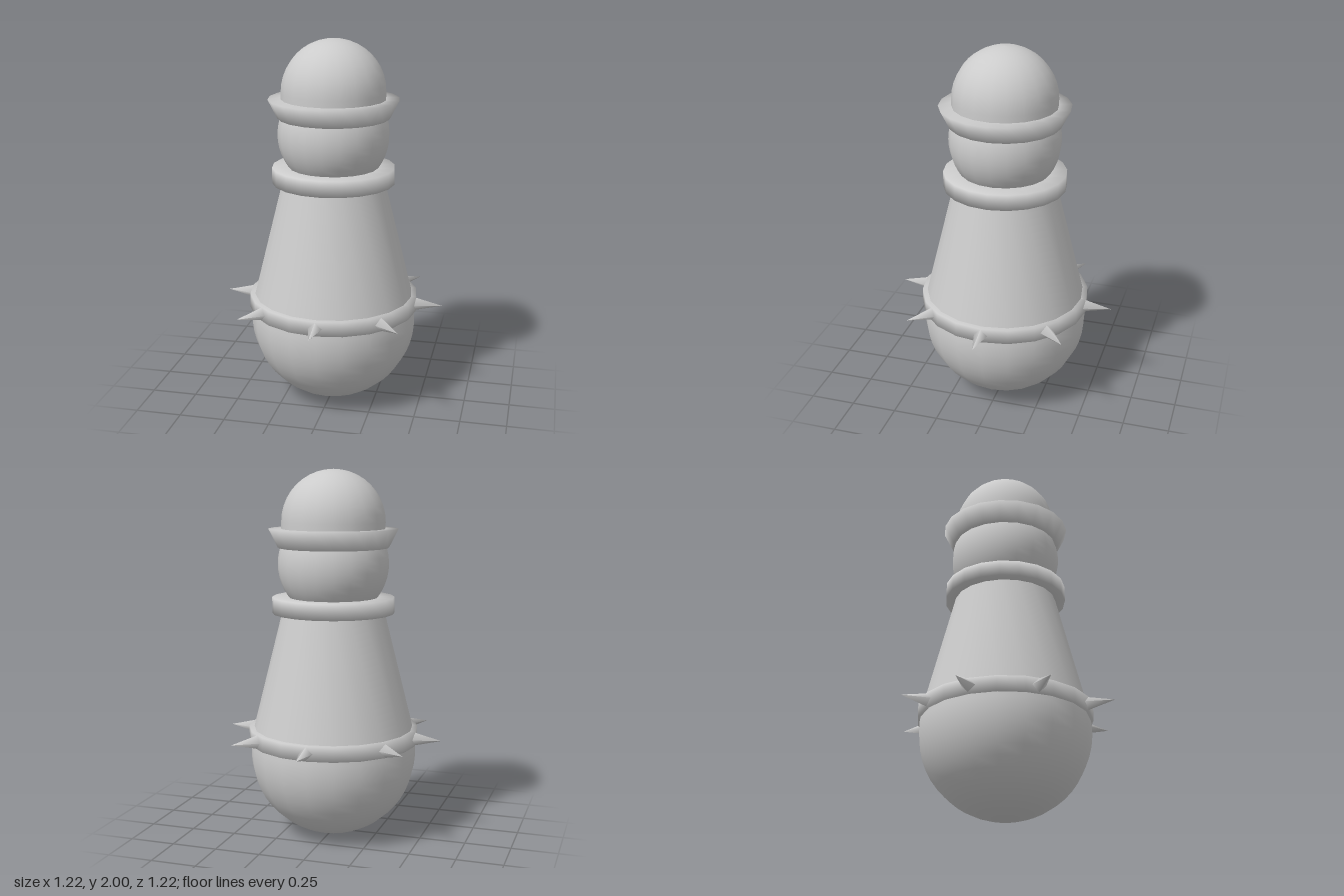
import * as THREE from 'three';

const SIDES = 20;
const material = new THREE.MeshStandardMaterial({ color: 0xcccccc });

export function createModel() {
  const group = new THREE.Group();

  const add = (name, geometry) => {
    const mesh = new THREE.Mesh(geometry, material);
    mesh.name = name;
    group.add(mesh);
    return mesh;
  };
  // Turned part from [radius, height] pairs, listed bottom to top
  const turn = (name, points) =>
    add(name, new THREE.LatheGeometry(points.map(([r, y]) => new THREE.Vector2(r, y)), SIDES));
  // Points along a circular arc between two latitudes (degrees)
  const arc = (radius, centerY, from, to, steps) =>
    Array.from({ length: steps + 1 }, (_, i) => {
      const a = THREE.MathUtils.degToRad(from + ((to - from) * i) / steps);
      return [Math.max(0, radius * Math.cos(a)), centerY + radius * Math.sin(a)];
    });

  // Rounded bottom and tapered body
  turn('roundBase', arc(0.456, 0.456, -90, 12, 14));
  turn('taperedBody', [[0.445, 0.56], [0.437, 0.6], [0.278, 1.235]]);

  // Spiked band, collar and bulb above the body
  turn('spikedBand', [[0.41, 0.52], [0.465, 0.52], [0.465, 0.6], [0.41, 0.6]]);
  turn('collar', [[0.24, 1.232], [0.332, 1.232], [0.332, 1.318], [0.22, 1.318]]);
  turn('bulb', arc(0.3, 1.495, -42, 30, 10));

  // Flared rim and domed head
  turn('flaredRim', [[0.26, 1.585], [0.3, 1.585], [0.35, 1.685], [0.26, 1.685]]);
  turn('domedHead', [[0.28, 1.66], ...arc(0.28, 1.72, 0, 90, 10)]);

  // Spikes around the band; one at the back right sits slightly off the even spacing
  const spikeGeometry = new THREE.ConeGeometry(0.042, 0.17, 4);
  spikeGeometry.rotateZ(-Math.PI / 2).translate(0.523, 0.56, 0);
  for (const angle of [0, 45, 90, 143.5, 180, 224.5, 270, 315]) {
    add('spike', spikeGeometry).rotation.y = THREE.MathUtils.degToRad(angle);
  }

  return group;
}
